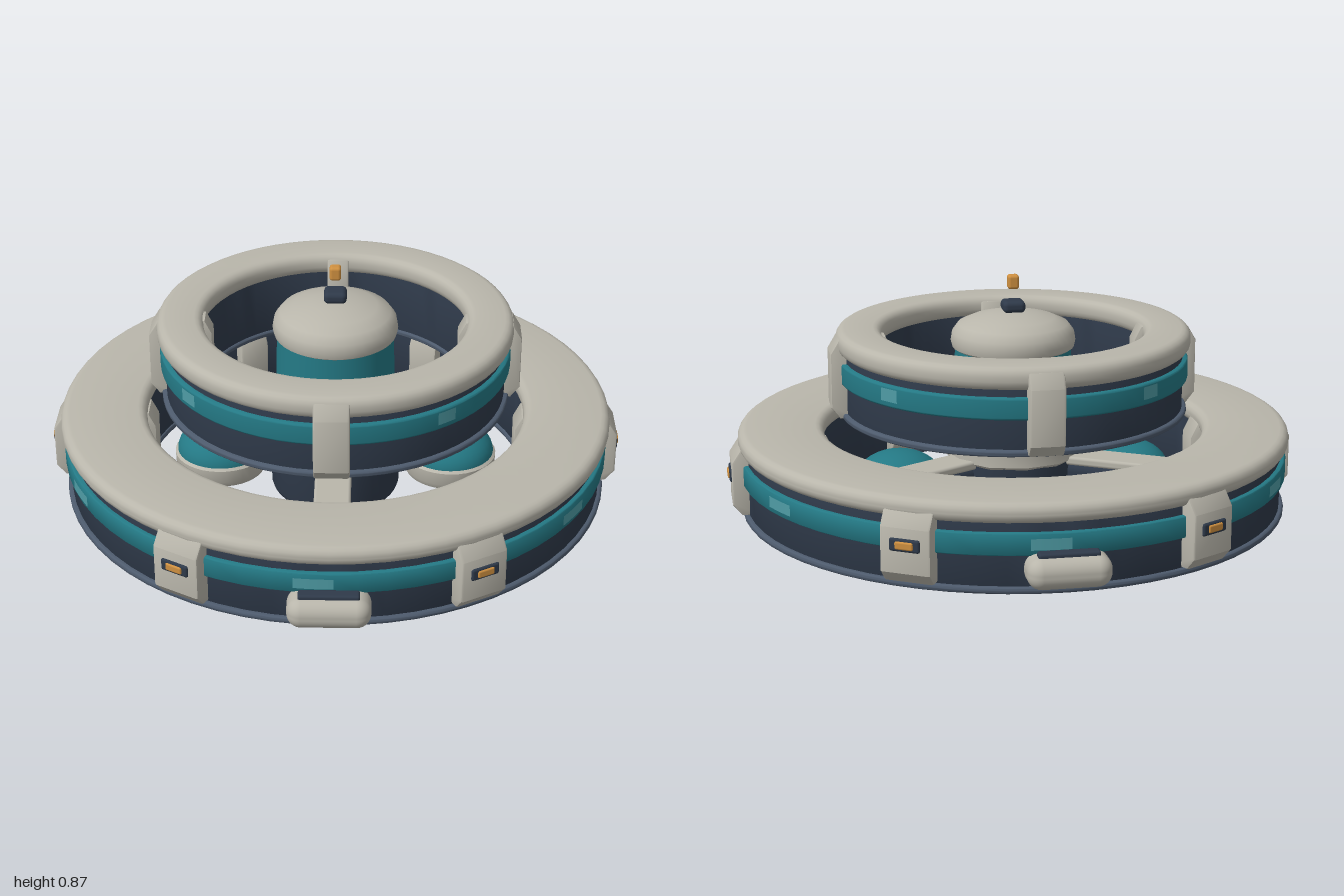
import * as THREE from 'three';
import { toCreasedNormals } from 'three/addons/utils/BufferGeometryUtils.js';
import { RoundedBoxGeometry } from 'three/addons/geometries/RoundedBoxGeometry.js';

const mat = (color) => new THREE.MeshStandardMaterial({ color });
const HULL = mat(0xb9b6ab), NAVY = mat(0x2f3a4a), TEAL = mat(0x247985);
const SLATE = mat(0x4d5a6c), PANEL = mat(0x4f9ca5), AMBER = mat(0xcf9040);

function add(parent, name, geometry, material, x = 0, y = 0, z = 0) {
  const m = new THREE.Mesh(geometry, material);
  m.name = name;
  m.position.set(x, y, z);
  parent.add(m);
  return m;
}

// Revolve a list of [radius, height] points, listed counter-clockwise
function lathe(points, segments = 64) {
  const g = new THREE.LatheGeometry(points.map(([r, y]) => new THREE.Vector2(r, y)), segments);
  return toCreasedNormals(g, 0.6);
}

// Closed ring with a cut or rounded rim: inner, outer radius, bottom, top, rounding
function band(inner, outer, y0, y1, c) {
  const shape = [];
  const corners = [[outer - c, y0 + c, -90], [outer - c, y1 - c, 0], [inner + c, y1 - c, 90], [inner + c, y0 + c, 180]];
  for (const [r, y, start] of corners) {
    for (let i = 0; i <= 4; i++) {
      const a = THREE.MathUtils.degToRad(start + i * 22.5);
      shape.push([r + c * Math.cos(a), y + c * Math.sin(a)]);
    }
  }
  shape.push(shape[0]);
  return lathe(shape);
}

// Group whose local +x points outward at an angle measured from the front
function spoke(parent, name, degrees) {
  const g = new THREE.Group();
  g.name = name;
  g.rotation.y = THREE.MathUtils.degToRad(degrees - 90);
  parent.add(g);
  return g;
}

// Clamp plate with softened ends; dir is 1 on the outside wall, -1 on the inside wall
function clamp(r, y0, y1, width, depth, dir) {
  const b = 0.008, d = depth - b;
  const pts = [[0, y0 + b], [d * 0.6, y0 + b], [d, y0 + 0.04], [d, y1 - 0.05], [d * 0.6, y1 - b], [0, y1 - b]];
  const shape = new THREE.Shape(pts.map(([x, y]) => new THREE.Vector2(r + dir * x, y)));
  const g = new THREE.ExtrudeGeometry(shape, {
    depth: width - 2 * b, bevelEnabled: true, bevelSize: b, bevelThickness: b, bevelSegments: 2,
  });
  g.translate(0, 0, b - width / 2);
  return toCreasedNormals(g, 0.6);
}

// Curved panel lying on a cylindrical wall, centred on local +x
function wallPanel(r, height, width) {
  const arc = width / r;
  const g = new THREE.CylinderGeometry(r, r, height, 6, 1, true, Math.PI / 2 - arc / 2, arc);
  return g;
}

function buildRing(parent, name, inner, outer, y, lip) {
  const ring = new THREE.Group();
  ring.name = name;
  parent.add(ring);
  add(ring, 'ringBody', band(inner + 0.012, outer - 0.025, y.bottom + 0.008, y.top - 0.02, 0.01), NAVY);
  add(ring, 'ringTopRim', band(inner, outer, y.top - lip, y.top, 0.03), HULL);
  add(ring, 'ringTealBand', band(outer - 0.06, outer - 0.008, y.teal, y.teal + 0.072, 0.008), TEAL);
  add(ring, 'ringBasePlate', band(inner + 0.005, outer - 0.01, y.bottom, y.bottom + 0.022, 0.009), SLATE);
  return ring;
}

export function createModel() {
  const model = new THREE.Group();
  model.name = 'ringStation';

  // Large lower ring
  const lower = buildRing(model, 'lowerRing', 0.64, 0.93, { bottom: 0.078, top: 0.366, teal: 0.2 }, 0.066);
  for (let i = 0; i < 6; i++) {
    const g = spoke(lower, 'lowerClamp', 30 + i * 60);
    add(g, 'outerClampPlate', clamp(0.88, 0.1, 0.328, 0.165, 0.076, 1), HULL);
    add(g, 'innerClampPlate', clamp(0.67, 0.1, 0.328, 0.11, 0.06, -1), HULL);
    add(g, 'lampFrame', new RoundedBoxGeometry(0.02, 0.042, 0.1, 2, 0.008), NAVY, 0.953, 0.228, 0);
    add(g, 'lamp', new RoundedBoxGeometry(0.02, 0.026, 0.06, 2, 0.006), AMBER, 0.958, 0.228, 0);
    const p = spoke(lower, 'lowerWindow', -3 + i * 60);
    add(p, 'windowPanel', wallPanel(0.925, 0.036, 0.125), PANEL, 0, 0.238, 0);
  }

  // Smaller upper ring
  const upper = buildRing(model, 'upperRing', 0.44, 0.595, { bottom: 0.405, top: 0.695, teal: 0.525 }, 0.075);
  for (let i = 0; i < 4; i++) {
    const g = spoke(upper, 'upperClamp', i * 90);
    add(g, 'outerClampPlate', clamp(0.55, 0.41, 0.678, 0.115, 0.07, 1), HULL);
    add(g, 'innerClampPlate', clamp(0.47, 0.42, 0.678, 0.075, 0.06, -1), HULL);
    const p = spoke(upper, 'upperWindow', 38 + i * 90);
    add(p, 'windowPanel', wallPanel(0.59, 0.042, 0.07), PANEL, 0, 0.567, 0);
  }

  // Docking bumpers at front and back
  for (const angle of [0, 180]) {
    const g = spoke(model, 'dockingBumper', angle);
    add(g, 'bumper', new RoundedBoxGeometry(0.13, 0.1, 0.26, 5, 0.045), HULL, 0.935, 0.16, 0);
    add(g, 'bumperInset', new RoundedBoxGeometry(0.04, 0.03, 0.19, 2, 0.008), NAVY, 0.945, 0.207, 0);
  }

  // Central hub
  const hub = new THREE.Group();
  hub.name = 'hub';
  model.add(hub);
  add(hub, 'hubBase', lathe([[0, 0], [0.17, 0], [0.185, 0.006], [0.215, 0.045], [0.22, 0.06], [0.22, 0.26], [0, 0.26]], 40), NAVY);
  add(hub, 'hubCollar', lathe([[0, 0.25], [0.225, 0.25], [0.236, 0.26], [0.236, 0.3], [0.225, 0.31], [0, 0.31]], 12), HULL);
  add(hub, 'hubNeck', new THREE.CylinderGeometry(0.195, 0.205, 0.34, 40), TEAL, 0, 0.47, 0);
  add(hub, 'hubDome', lathe([[0, 0.615], [0.19, 0.615], [0.205, 0.625], [0.21, 0.645], [0.205, 0.675], [0.185, 0.702],
    [0.14, 0.722], [0.08, 0.737], [0, 0.745]], 40), HULL);
  add(hub, 'beaconBase', new RoundedBoxGeometry(0.076, 0.04, 0.076, 3, 0.016), NAVY, 0, 0.76, 0);
  add(hub, 'beacon', new RoundedBoxGeometry(0.038, 0.048, 0.038, 3, 0.01), AMBER, 0, 0.842, 0);

  // Three arms joining the hub to the lower ring
  for (const angle of [0, 120, 240]) {
    const g = spoke(model, 'hubArm', angle);
    add(g, 'armBeam', new RoundedBoxGeometry(0.5, 0.1, 0.105, 4, 0.04), NAVY, 0.42, 0.205, 0);
    add(g, 'armCover', new RoundedBoxGeometry(0.48, 0.03, 0.12, 2, 0.01), HULL, 0.42, 0.255, 0);
  }

  // Domed pods on either side of the hub
  for (const side of [1, -1]) {
    const pod = new THREE.Group();
    pod.name = side > 0 ? 'leftPod' : 'rightPod';
    pod.position.set(side * 0.392, 0.09, 0);
    model.add(pod);
    add(pod, 'podCup', lathe([[0, 0], [0.125, 0], [0.147, 0.009], [0.158, 0.03], [0.16, 0.075], [0.15, 0.084], [0, 0.084]], 36), HULL);
    const dome = add(pod, 'podDome', new THREE.SphereGeometry(0.152, 36, 10, 0, Math.PI * 2, 0, Math.PI / 2), TEAL, 0, 0.078, 0);
    dome.scale.y = 0.7;
    add(pod, 'podNozzle', new THREE.CylinderGeometry(0.024, 0.024, 0.02, 20), TEAL, 0, 0.006, 0);
  }
  return model;
}
